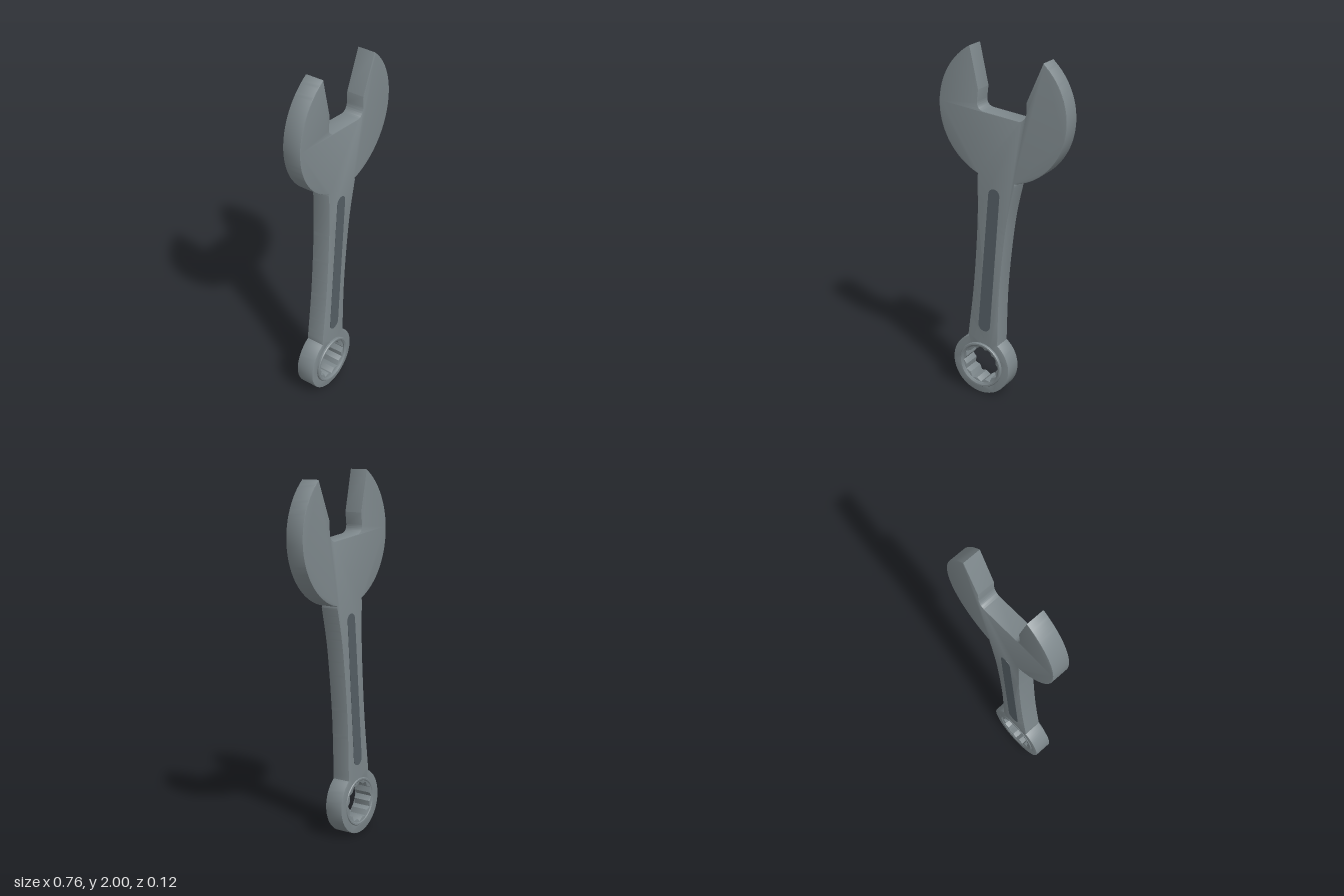
import * as THREE from 'three';
import { toCreasedNormals } from 'three/addons/utils/BufferGeometryUtils.js';

const steel = new THREE.MeshStandardMaterial({ color: 0x7d878b });
const darkSteel = new THREE.MeshStandardMaterial({ color: 0x535d63 });

const HEAD = { x: 0, y: 1.67, r: 0.378 };
const RING = { x: -0.136, y: 0.182, r: 0.18 };
const BACK = -0.057, FRONT = 0.047, BEVEL = 0.004;

const v2 = (x, y) => new THREE.Vector2(x, y);
const angleTo = (c, x, y) => Math.atan2(y - c.y, x - c.x);

function addMesh(group, name, geometry, material) {
  const mesh = new THREE.Mesh(geometry, material);
  mesh.name = name;
  group.add(mesh);
  return mesh;
}

// Outline of open jaw, handle and ring, counter-clockwise from the left jaw tip
function bodyShape() {
  const s = new THREE.Shape();
  s.moveTo(-0.188, 2);
  s.absarc(HEAD.x, HEAD.y, HEAD.r, angleTo(HEAD, -0.188, 2), angleTo(HEAD, -0.148, 1.31) + 2 * Math.PI, false);
  s.lineTo(-0.148, 1.31);
  s.splineThru([v2(-0.15, 1.05), v2(-0.177, 0.68), v2(-0.217, 0.363)]);
  s.absarc(RING.x, RING.y, RING.r, angleTo(RING, -0.217, 0.345), angleTo(RING, -0.027, 0.325) + 2 * Math.PI, false);
  s.lineTo(-0.027, 0.345);
  s.splineThru([v2(-0.013, 0.68), v2(0.029, 1.05), v2(0.08, 1.289)]);
  s.absarc(HEAD.x, HEAD.y, HEAD.r, angleTo(HEAD, 0.08, 1.289), angleTo(HEAD, 0.241, 1.96), false);
  // Jaw opening
  s.lineTo(0.148, 1.75);
  s.lineTo(0.146, 1.69);
  s.quadraticCurveTo(0.14, 1.645, 0.103, 1.643);
  s.lineTo(-0.11, 1.664);
  s.quadraticCurveTo(-0.145, 1.672, -0.145, 1.71);
  s.lineTo(-0.137, 1.775);
  s.closePath();

  // Twelve-point socket hole
  const pts = [];
  for (let i = 0; i < 24; i++) {
    const a = -i * Math.PI / 12;
    const r = i % 2 ? 0.097 : 0.113;
    pts.push(v2(RING.x + r * Math.cos(a), RING.y + r * Math.sin(a)));
  }
  s.holes.push(new THREE.Path(pts));
  return s;
}

// Tapered slot outline with round ends
function slotShape() {
  const top = { x: -0.045, y: 1.216, r: 0.034 };
  const bottom = { x: -0.111, y: 0.435, r: 0.037 };
  const axis = Math.atan2(top.y - bottom.y, top.x - bottom.x);
  const s = new THREE.Shape();
  s.absarc(top.x, top.y, top.r, axis - Math.PI / 2, axis + Math.PI / 2, false);
  s.absarc(bottom.x, bottom.y, bottom.r, axis + Math.PI / 2, axis + 1.5 * Math.PI, false);
  return s;
}

export function createModel() {
  const model = new THREE.Group();
  model.name = 'combinationWrench';

  // Forged body
  const body = new THREE.ExtrudeGeometry(bodyShape(), {
    depth: FRONT - BACK - 2 * BEVEL, curveSegments: 32,
    bevelThickness: BEVEL, bevelSize: BEVEL, bevelOffset: -BEVEL, bevelSegments: 2,
  });
  body.translate(0, 0, BACK + BEVEL);
  addMesh(model, 'body', toCreasedNormals(body, 0.5), steel);

  // Dark handle inlay, showing on both faces
  const inlay = new THREE.ExtrudeGeometry(slotShape(), {
    depth: FRONT - BACK + 0.003, curveSegments: 8, bevelEnabled: false,
  });
  inlay.translate(0, 0, BACK - 0.0015);
  addMesh(model, 'handleInlay', inlay, darkSteel);

  // Raised collar round the socket, with chamfered rims
  const half = [[0.136, 0.056], [0.132, 0.061], [0.124, 0.061], [0.114, 0.054]];
  const profile = [
    ...half.map(([r, z]) => v2(r, z)),
    ...half.map(([r, z]) => v2(r, -z)).reverse(),
  ];
  profile.push(profile[0].clone());
  const collar = new THREE.LatheGeometry(profile, 48);
  collar.rotateX(Math.PI / 2);
  const collarMesh = addMesh(model, 'socketCollar', toCreasedNormals(collar, 0.4), steel);
  collarMesh.position.set(RING.x, RING.y, 0);

  return model;
}
